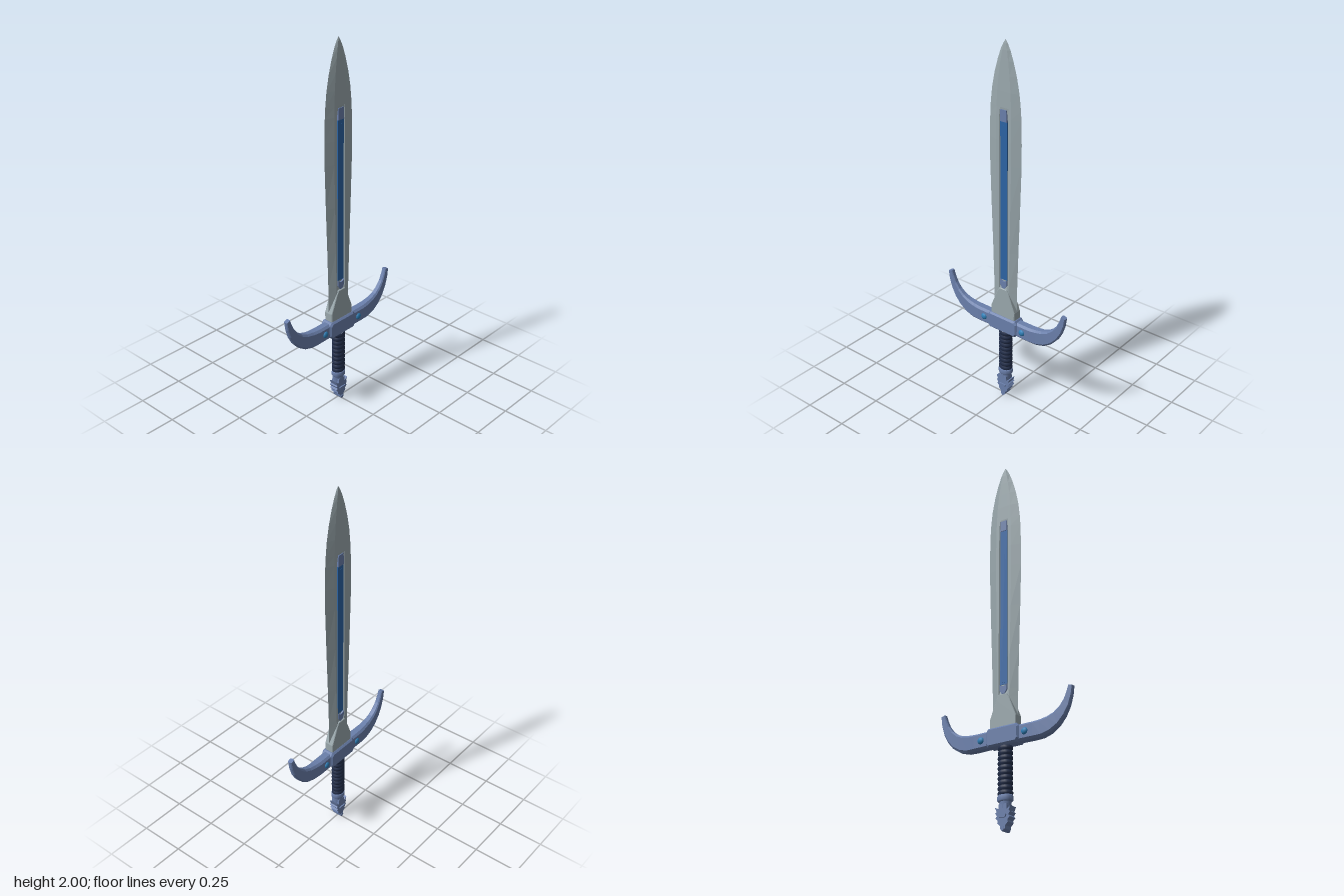
import * as THREE from 'three';

const material = (name, color) => {
  const m = new THREE.MeshStandardMaterial({ color });
  m.name = name;
  return m;
};

// Skins a stack of equal-sized rings and closes both ends, with faceted normals.
function loft(rings) {
  const pos = [];
  const tri = (a, b, c) => pos.push(...a, ...b, ...c);
  const n = rings[0].length;
  const middle = (r) => [0, 1, 2].map((k) => r.reduce((s, p) => s + p[k], 0) / n);
  const first = rings[0], last = rings[rings.length - 1];
  const c0 = middle(first), c1 = middle(last);
  for (let j = 0; j < n; j++) {
    const k = (j + 1) % n;
    for (let i = 0; i < rings.length - 1; i++) {
      const a = rings[i], b = rings[i + 1];
      tri(a[j], b[j], a[k]);
      tri(a[k], b[j], b[k]);
    }
    tri(c0, first[j], first[k]);
    tri(c1, last[k], last[j]);
  }
  const g = new THREE.BufferGeometry();
  g.setAttribute('position', new THREE.Float32BufferAttribute(pos, 3));
  g.computeVertexNormals();
  return g;
}

// Left-right symmetric outline from its right half, extruded about z = 0.
function symmetricPlate(half, halfDepth, bevel = 0) {
  const left = half.map(([x, y]) => [-x, y]).reverse();
  const shape = new THREE.Shape([...half, ...left].map(([x, y]) => new THREE.Vector2(x, y)));
  const depth = 2 * (halfDepth - bevel);
  const g = new THREE.ExtrudeGeometry(shape, {
    depth, bevelEnabled: bevel > 0, bevelSize: bevel, bevelThickness: bevel, bevelSegments: 1,
  });
  return g.translate(0, 0, -depth / 2);
}

export function createModel() {
  const model = new THREE.Group();
  model.name = 'sword';
  const steel = material('blade steel', 0x9aa8ad);
  const slate = material('slate blue metal', 0x6a7fab);
  const blue = material('fuller blue', 0x2c64a4);
  const navy = material('grip navy', 0x222e4a);
  const bright = material('rivet blue', 0x2f80b8);
  const add = (name, geometry, mat, parent = model) => {
    const mesh = new THREE.Mesh(geometry, mat);
    mesh.name = name;
    parent.add(mesh);
    return mesh;
  };

  // Blade: [height, half width, half thickness, groove depth]
  const stations = [
    [0.49, 0.074, 0.020, 0], [0.66, 0.075, 0.020, 0], [0.70, 0.076, 0.020, 0.007],
    [0.90, 0.082, 0.019, 0.007], [1.15, 0.091, 0.018, 0.007], [1.38, 0.098, 0.017, 0.007],
    [1.50, 0.098, 0.017, 0.007], [1.62, 0.095, 0.016, 0.006], [1.67, 0.092, 0.015, 0],
    [1.75, 0.083, 0.014, 0], [1.83, 0.067, 0.012, 0], [1.90, 0.047, 0.010, 0],
    [1.95, 0.029, 0.008, 0], [1.98, 0.014, 0.005, 0], [2.0, 0.0005, 0.0005, 0],
  ];
  add('blade', loft(stations.map(([y, w, t, d]) => {
    const b = w * 0.48, g = Math.min(0.028, b * 0.75), h = g * 0.8;
    return [
      [w, y, 0], [b, y, t], [g, y, t], [h, y, t - d], [-h, y, t - d], [-g, y, t], [-b, y, t],
      [-w, y, 0], [-b, y, -t], [-g, y, -t], [-h, y, -t + d], [h, y, -t + d], [g, y, -t], [b, y, -t],
    ];
  })), steel);
  add('bladeShoulder', symmetricPlate(
    [[0.074, 0.49], [0.074, 0.555], [0.036, 0.65], [0.022, 0.675]], 0.025, 0.003), steel);

  // Inlaid fuller strips on both faces, with slate ends
  for (const side of [1, -1]) {
    const inlay = new THREE.Group();
    inlay.name = side > 0 ? 'frontInlay' : 'backInlay';
    inlay.position.z = side * 0.0125;
    model.add(inlay);
    add('inlayStrip', symmetricPlate([[0.021, 0.73], [0.021, 1.6]], 0.003), blue, inlay);
    add('inlayRidge', symmetricPlate([[0.006, 0.74], [0.006, 1.58]], 0.0045), blue, inlay);
    add('lowerInlayEnd', symmetricPlate(
      [[0.008, 0.68], [0.021, 0.70], [0.021, 0.73], [0.006, 0.72]], 0.008), slate, inlay);
    add('upperInlayEnd', symmetricPlate([[0.021, 1.6], [0.018, 1.66]], 0.006), slate, inlay);
  }

  // Guard arms: [lower/outer x, y, upper/inner x, y, half depth]
  const armStations = [
    [0, 0.42, 0, 0.503, 0.027], [0.17, 0.417, 0.17, 0.503, 0.027],
    [0.215, 0.418, 0.205, 0.506, 0.024], [0.262, 0.431, 0.245, 0.513, 0.021],
    [0.305, 0.458, 0.282, 0.528, 0.018], [0.340, 0.497, 0.313, 0.552, 0.016],
    [0.365, 0.542, 0.337, 0.583, 0.014], [0.381, 0.592, 0.353, 0.618, 0.013],
    [0.388, 0.640, 0.363, 0.648, 0.012],
  ];
  const armRings = armStations.map(([ox, oy, ix, iy, d]) => {
    const at = (f, z) => [ox + (ix - ox) * f, oy + (iy - oy) * f, z];
    const c = d * 0.6;
    return [at(1, c), at(1, -c), at(0.87, -d), at(0.13, -d),
      at(0, -c), at(0, c), at(0.13, d), at(0.87, d)];
  });
  const armGeometry = loft(armRings);
  add('leftGuardArm', armGeometry, slate);
  add('rightGuardArm', armGeometry, slate).rotation.y = Math.PI;
  add('guardBlock', symmetricPlate(
    [[0.078, 0.425], [0.087, 0.436], [0.087, 0.491], [0.078, 0.502]], 0.036, 0.009), slate);

  // Rivets on both faces of each arm
  const rivet = new THREE.SphereGeometry(0.018, 12, 8).scale(1, 1, 0.6);
  for (const x of [-0.127, 0.127])
    for (const z of [-0.026, 0.026]) add('rivet', rivet, bright).position.set(x, 0.461, z);

  // Grip with wrapped ribs
  const ribs = [new THREE.Vector2(0.033, 0.165)];
  for (let i = 0; i < 10; i++) {
    const y = 0.172 + i * 0.0245;
    ribs.push(new THREE.Vector2(0.034, y), new THREE.Vector2(0.039, y + 0.007),
      new THREE.Vector2(0.039, y + 0.016), new THREE.Vector2(0.034, y + 0.023));
  }
  add('grip', new THREE.LatheGeometry(ribs, 16).scale(1, 1, 0.82), navy);

  // Collar and neck below the grip
  const collar = [[0.001, 0.143], [0.036, 0.143], [0.041, 0.149], [0.041, 0.168],
    [0.036, 0.175], [0.001, 0.175]].map(([x, y]) => new THREE.Vector2(x, y));
  add('collar', new THREE.LatheGeometry(collar, 12).toNonIndexed().scale(1, 1, 0.82), slate);
  add('pommelNeck', new THREE.CylinderGeometry(0.031, 0.027, 0.07, 10)
    .scale(1, 1, 0.85).translate(0, 0.115, 0), slate);

  // Spiked pommel, tapering to a point
  add('pommel', symmetricPlate([
    [0.003, 0.001], [0.013, 0.012], [0.015, 0.027], [0.030, 0.042], [0.027, 0.052],
    [0.040, 0.066], [0.032, 0.075], [0.042, 0.089], [0.034, 0.094], [0.043, 0.117],
    [0.024, 0.104], [0.022, 0.13],
  ], 0.024), slate);
  add('pommelBand', symmetricPlate([[0.016, 0.064], [0.022, 0.078]], 0.031), slate);
  add('pommelSnout', symmetricPlate([[0.003, 0.002], [0.011, 0.013], [0.006, 0.02]], 0.028), slate);

  return model;
}
